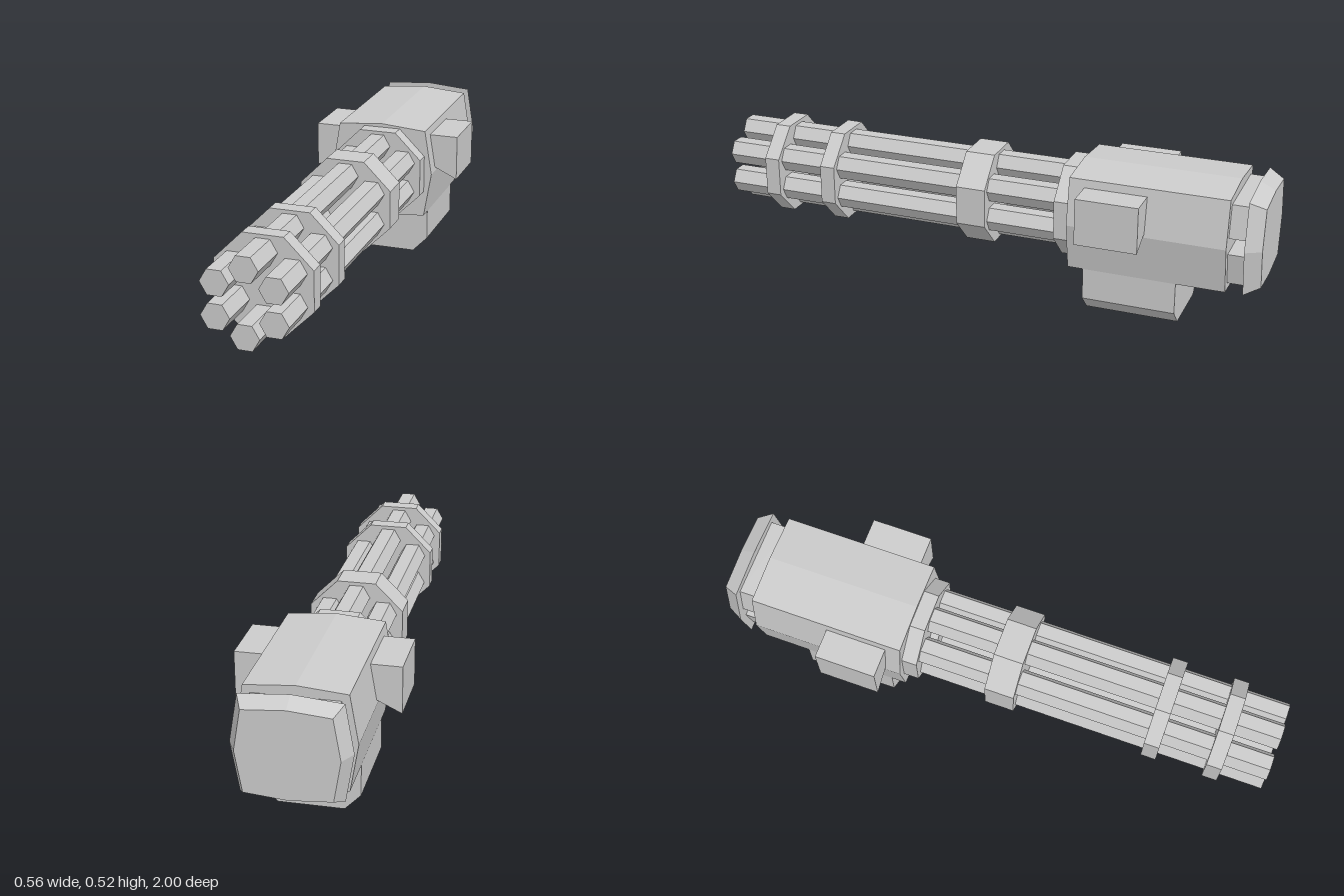
import * as THREE from 'three';

const AXIS_Y = 0.337; // height of the barrel axis
const material = new THREE.MeshStandardMaterial({ color: 0xcccccc, flatShading: true });

// Prism with an x/y outline (counter-clockwise), running from z0 (back) to z1 (front)
function prism(name, points, z0, z1) {
  const shape = new THREE.Shape(points.map(([x, y]) => new THREE.Vector2(x, y)));
  const geometry = new THREE.ExtrudeGeometry(shape, { depth: z1 - z0, bevelEnabled: false });
  geometry.translate(0, 0, z0);
  const mesh = new THREE.Mesh(geometry, material);
  mesh.name = name;
  return mesh;
}

// Regular polygon outline
function polygon(sides, radius, cx, cy, turn = 0) {
  return Array.from({ length: sides }, (_, i) => {
    const a = turn + (i / sides) * Math.PI * 2;
    return [cx + radius * Math.cos(a), cy + radius * Math.sin(a)];
  });
}

const mirrorX = (points) => points.map(([x, y]) => [-x, y]).reverse();

export function createModel() {
  const model = new THREE.Group();
  model.name = 'rotaryGun';

  // Six hexagonal barrels around the axis
  const barrels = new THREE.Group();
  barrels.name = 'barrels';
  for (let i = 0; i < 6; i++) {
    const a = Math.PI / 2 + (i * Math.PI) / 3;
    const cx = 0.112 * Math.cos(a), cy = AXIS_Y + 0.112 * Math.sin(a);
    barrels.add(prism('barrel', polygon(6, 0.049, cx, cy), -0.33, 1));
  }
  model.add(barrels);

  // Octagonal clamps holding the barrels
  const octagon = polygon(8, 0.181, 0, AXIS_Y, Math.PI / 8);
  for (const [z0, z1] of [[0.79, 0.845], [0.565, 0.62], [-0.02, 0.087], [-0.33, -0.275]]) {
    model.add(prism('barrelClamp', octagon, z0, z1));
  }
  model.add(prism('rotorHub', polygon(8, 0.05, 0, AXIS_Y, Math.PI / 8), -0.275, -0.245));

  // Eight-sided housing
  const housing = [
    [0, 0.518], [-0.168, 0.504], [-0.196, 0.337], [-0.168, 0.17],
    [0, 0.156], [0.168, 0.17], [0.196, 0.337], [0.168, 0.504],
  ];
  model.add(prism('housing', housing, -0.885, -0.33));

  // Upper and lower spacers between housing and rear cap
  const spacer = [[0.163, 0.366], [0.143, 0.48], [-0.143, 0.48], [-0.163, 0.366]];
  model.add(prism('upperSpacer', spacer, -0.945, -0.885));
  model.add(prism('lowerSpacer',
    spacer.map(([x, y]) => [x, 2 * AXIS_Y - y]).reverse(), -0.945, -0.885));

  // Rear cap: housing outline narrowing towards the back
  const cap = prism('rearCap', housing, -1, -0.945);
  const pos = cap.geometry.attributes.position;
  for (let i = 0; i < pos.count; i++) {
    if (pos.getZ(i) > -0.97) continue;
    pos.setX(i, pos.getX(i) * 0.85);
    pos.setY(i, AXIS_Y + (pos.getY(i) - AXIS_Y) * 0.85);
  }
  cap.geometry.computeVertexNormals();
  model.add(cap);

  // Side blocks with a slanted underside
  const block = [[0.15, 0.371], [0.278, 0.31], [0.278, 0.476], [0.15, 0.476]];
  model.add(prism('leftBlock', block, -0.605, -0.385));
  model.add(prism('rightBlock', mirrorX(block), -0.605, -0.385));

  // Chamfered block under the housing
  model.add(prism('lowerBlock', [
    [-0.112, 0], [0.112, 0], [0.167, 0.057], [0.167, 0.18], [-0.167, 0.18], [-0.167, 0.057],
  ], -0.715, -0.385));

  return model;
}
